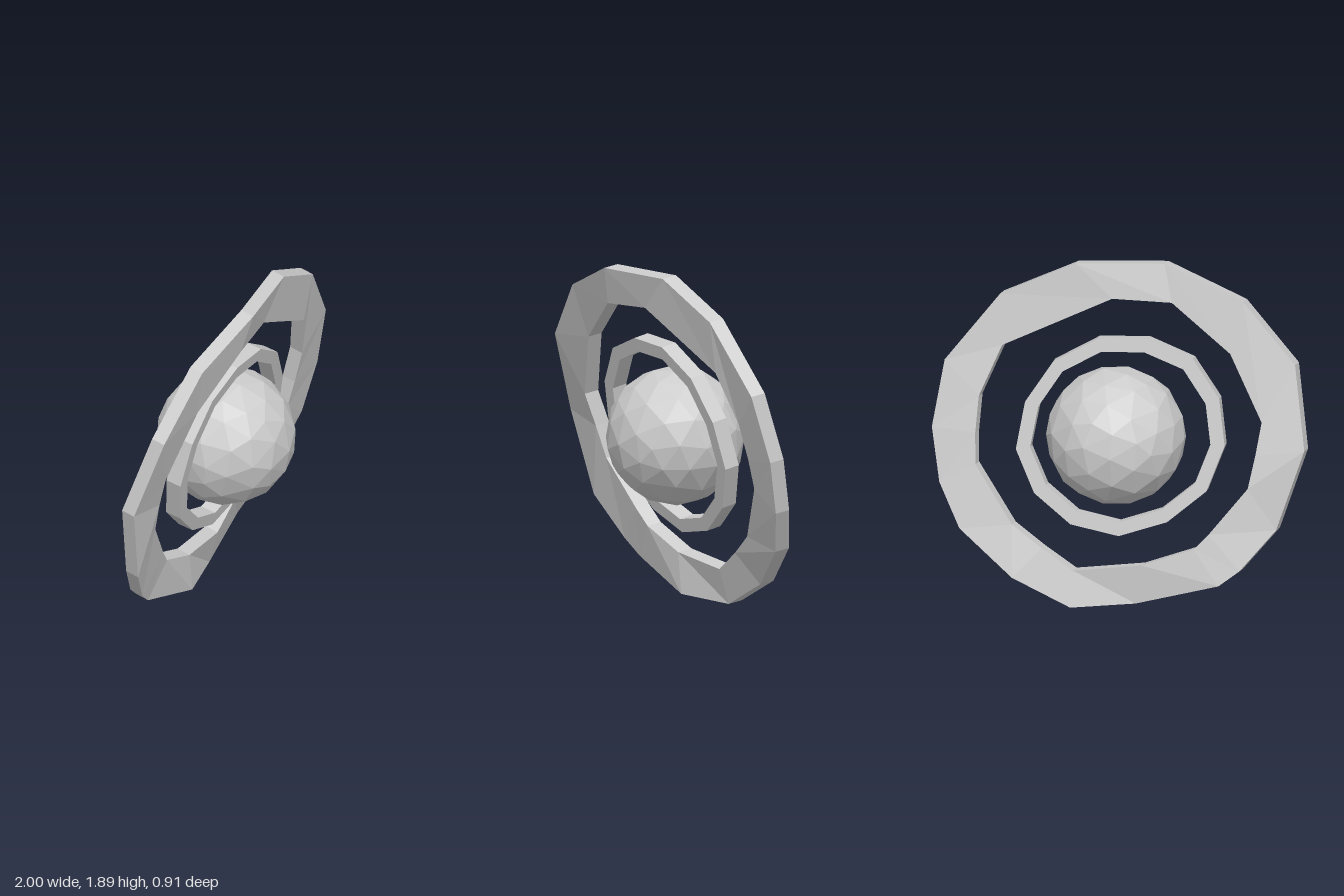
import * as THREE from 'three';

const material = new THREE.MeshStandardMaterial({ color: 0xcccccc, flatShading: true });

// Closed faceted band; each section is [outerFront, outerBack, innerBack, innerFront],
// and sections run counter-clockwise seen from the front.
function bandMesh(name, sections) {
  const n = sections.length;
  const index = [];
  for (let i = 0; i < n; i++) {
    const j = (i + 1) % n;
    for (let k = 0; k < 4; k++) {
      const l = (k + 1) % 4;
      const a = i * 4 + k, b = i * 4 + l, c = j * 4 + l, d = j * 4 + k;
      index.push(a, b, c, a, c, d);
    }
  }
  let geometry = new THREE.BufferGeometry();
  geometry.setAttribute('position', new THREE.Float32BufferAttribute(sections.flat(2), 3));
  geometry.setIndex(index);
  geometry = geometry.toNonIndexed();
  geometry.computeVertexNormals();
  const mesh = new THREE.Mesh(geometry, material);
  mesh.name = name;
  return mesh;
}

// Wide, irregular outer ring: outer and inner points of the front rim, clockwise
function makeOuterRing() {
  const rim = [
    [[-0.985, 0.92, 0.335], [-0.72, 0.87, 0.26]],
    [[-0.87, 1.37, 0.455], [-0.73, 1.05, 0.32]],
    [[-0.56, 1.70, 0.435], [-0.52, 1.41, 0.355]],
    [[-0.11, 1.87, 0.37], [-0.17, 1.66, 0.335]],
    [[0.33, 1.875, 0.15], [0.13, 1.68, 0.20]],
    [[0.71, 1.69, -0.02], [0.68, 1.40, -0.06]],
    [[0.97, 1.31, -0.19], [0.77, 1.12, -0.17]],
    [[1.0, 0.94, -0.29], [0.765, 0.92, -0.225]],
    [[0.93, 0.64, -0.34], [0.745, 0.75, -0.265]],
    [[0.79, 0.40, -0.375], [0.51, 0.44, -0.285]],
    [[0.47, 0.16, -0.37], [0.34, 0.32, -0.26]],
    [[0.16, 0, -0.27], [0.17, 0.20, -0.215]],
    [[-0.15, 0.01, -0.08], [-0.18, 0.24, -0.07]],
    [[-0.60, 0.15, 0.04], [-0.45, 0.345, 0.035]],
    [[-0.70, 0.235, 0.10], [-0.52, 0.43, 0.08]],
    [[-0.86, 0.46, 0.235], [-0.70, 0.69, 0.205]],
  ];
  const back = ([x, y, z]) => [x - 0.015, y + 0.015, z - 0.08];
  return bandMesh('outerRing', rim.reverse().map(
    ([outer, inner]) => [outer, back(outer), back(inner), inner]));
}

// Narrow, tilted inner ring with a slightly uneven rim
function makeInnerRing() {
  const sides = 13;
  const slopeX = -0.33, slopeY = 0.22;
  const centre = new THREE.Vector3(0.003, 0.945, 0.015);
  const normal = new THREE.Vector3(-slopeX, -slopeY, 1).normalize();
  const sections = [];
  for (let i = 0; i < sides; i++) {
    const angle = THREE.MathUtils.degToRad(183) + (i / sides) * Math.PI * 2;
    const wobble = 0.006 * Math.sin(i * 2.4);
    const corner = (radius, offset) => {
      const x = radius * Math.cos(angle), y = radius * Math.sin(angle);
      return new THREE.Vector3(x, y, slopeX * x + slopeY * y)
        .add(centre).addScaledVector(normal, offset).toArray();
    };
    const outer = 0.552 + wobble, inner = 0.476 + wobble;
    sections.push([corner(outer, 0.045), corner(outer, -0.045), corner(inner, -0.045), corner(inner, 0.045)]);
  }
  return bandMesh('innerRing', sections);
}

// Faceted ball, its vertices nudged along the surface to make the facets uneven
function makePlanet() {
  const radius = 0.388;
  const geometry = new THREE.IcosahedronGeometry(radius, 2);
  const position = geometry.attributes.position;
  const v = new THREE.Vector3();
  for (let i = 0; i < position.count; i++) {
    v.fromBufferAttribute(position, i);
    const { x, y, z } = v;
    v.x += 0.018 * Math.sin(23 * y + 17 * z);
    v.y += 0.018 * Math.sin(21 * z + 19 * x);
    v.z += 0.018 * Math.sin(25 * x + 15 * y);
    v.setLength(radius);
    position.setXYZ(i, v.x, v.y, v.z);
  }
  geometry.computeVertexNormals();
  const planet = new THREE.Mesh(geometry, material);
  planet.name = 'planet';
  planet.position.set(0.033, 0.938, 0);
  return planet;
}

export function createModel() {
  const model = new THREE.Group();
  model.name = 'ringedPlanet';
  model.add(makePlanet(), makeInnerRing(), makeOuterRing());
  return model;
}
